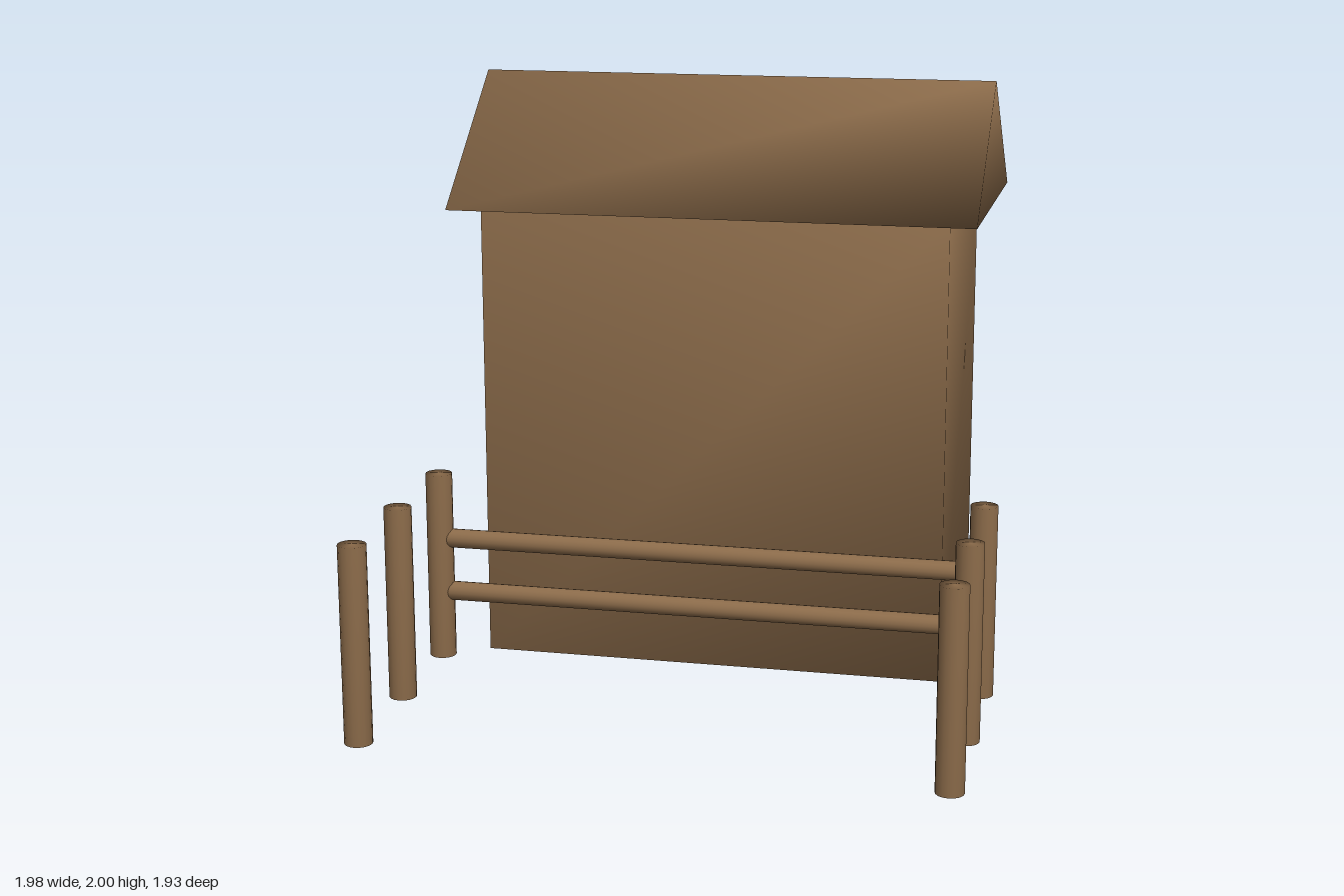
import * as THREE from 'three';
import { mergeVertices } from 'three/addons/utils/BufferGeometryUtils.js';

const wood = new THREE.MeshStandardMaterial({ color: 0x8b6b4a });

// Weld shared corners so the shading runs softly around every edge
function weld(geometry) {
  geometry.deleteAttribute('normal');
  geometry.deleteAttribute('uv');
  const welded = mergeVertices(geometry, 1e-4);
  welded.computeVertexNormals();
  return welded;
}

function addPart(parent, name, geometry, x, y, z) {
  const mesh = new THREE.Mesh(weld(geometry), wood);
  mesh.name = name;
  mesh.position.set(x, y, z);
  parent.add(mesh);
  return mesh;
}

export function createModel() {
  const model = new THREE.Group();
  model.name = 'hutWithFence';

  // Hut body
  addPart(model, 'hutBody', new THREE.BoxGeometry(1.597, 1.58, 0.846), 0, 0.79, -0.443);

  // Gabled roof: a triangle extruded along x
  const halfDepth = 0.515, length = 1.79;
  const gable = new THREE.Shape([
    new THREE.Vector2(-halfDepth, 0),
    new THREE.Vector2(halfDepth, 0),
    new THREE.Vector2(0, 0.42),
  ]);
  const roof = new THREE.ExtrudeGeometry(gable, { depth: length, bevelEnabled: false });
  roof.translate(0, 0, -length / 2).rotateY(Math.PI / 2);
  addPart(model, 'roof', roof, 0, 1.58, -0.445);

  // Fence posts, three on each side
  const fence = new THREE.Group();
  fence.name = 'fence';
  model.add(fence);
  for (const side of [-1, 1]) {
    for (const z of [0.07, 0.495, 0.92]) {
      addPart(fence, side > 0 ? 'leftPost' : 'rightPost',
        new THREE.CylinderGeometry(0.046, 0.046, 0.66, 16), side * 0.943, 0.33, z);
    }
  }

  // Two rails between the posts nearest the hut
  for (const y of [0.237, 0.428]) {
    const rail = new THREE.CylinderGeometry(0.033, 0.033, 1.87, 16).rotateZ(Math.PI / 2);
    addPart(fence, 'rail', rail, 0, y, 0.07);
  }
  return model;
}
